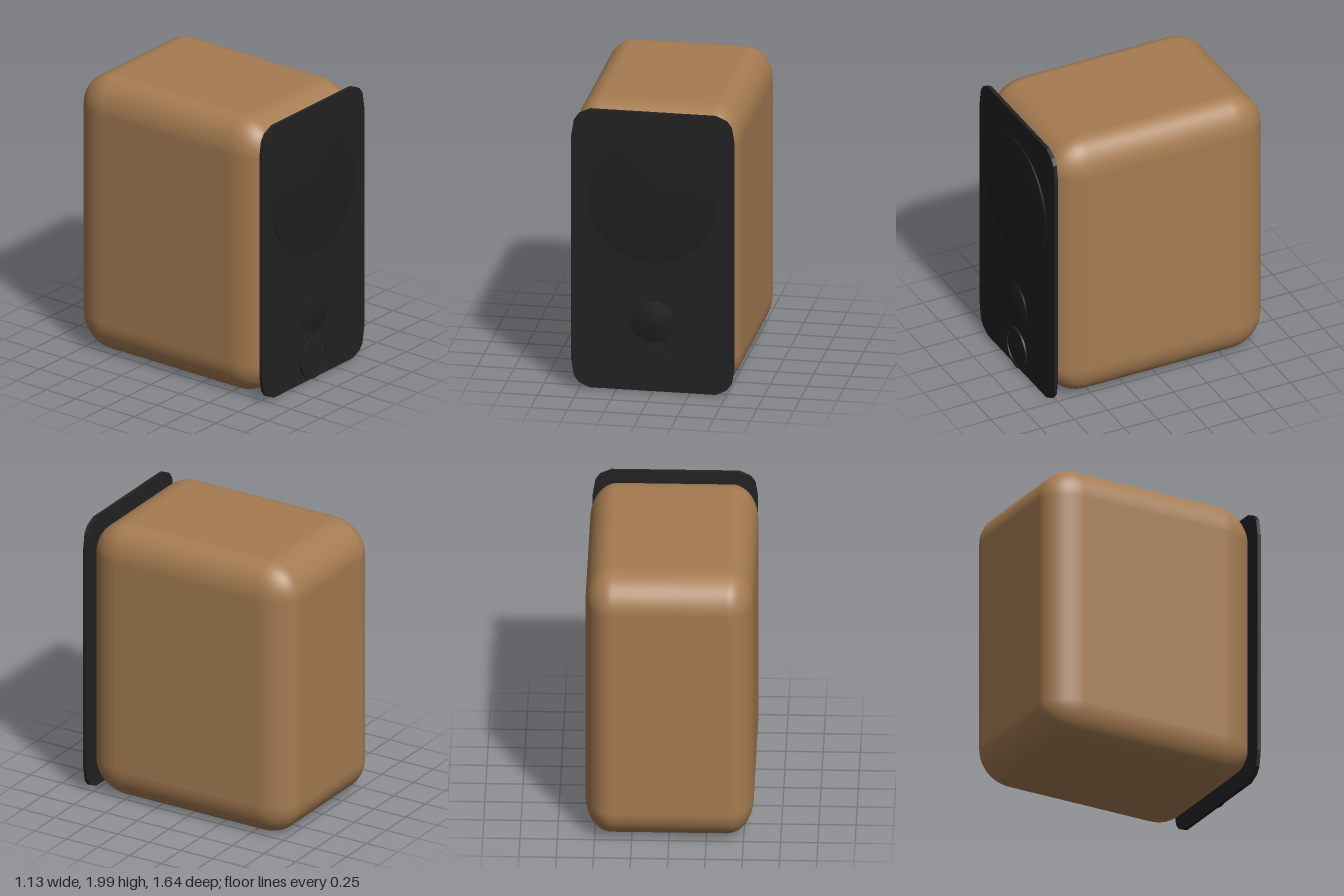
import * as THREE from 'three';
import { RoundedBoxGeometry } from 'three/addons/geometries/RoundedBoxGeometry.js';

const mat = (name, color) => {
  const m = new THREE.MeshStandardMaterial({ color });
  m.name = name;
  return m;
};

export function createModel() {
  const wood = mat('wood', 0xa67c52);
  const black = mat('black panel', 0x222222);
  const rubber = mat('dark rubber', 0x1f1f1f);

  const group = new THREE.Group();
  group.name = 'speaker';
  const add = (name, geometry, material, x, y, z) => {
    const mesh = new THREE.Mesh(geometry, material);
    mesh.name = name;
    mesh.position.set(x, y, z);
    group.add(mesh);
    return mesh;
  };

  // Cabinet: a rounded box stretched so each axis has its own corner radius
  const size = [1.13, 1.995, 1.595];
  const radii = [0.18, 0.24, 0.25];
  const r = 0.2;
  const s = radii.map((v) => v / r);
  const cabinet = new RoundedBoxGeometry(size[0] / s[0], size[1] / s[1], size[2] / s[2], 8, r);
  cabinet.scale(...s);
  add('cabinet', cabinet, wood, 0, 1.0, -0.0225);

  // Front baffle with faceted corners, mirrored from one corner
  const corner = [[0.555, 0.8], [0.537, 0.91], [0.505, 0.955], [0.43, 0.99]];
  const back = [...corner].reverse();
  const outline = [
    ...corner,
    ...back.map(([x, y]) => [-x, y]),
    ...corner.map(([x, y]) => [-x, -y]),
    ...back.map(([x, y]) => [x, -y]),
  ].map(([x, y]) => new THREE.Vector2(x, y));
  const baffle = new THREE.ExtrudeGeometry(new THREE.Shape(outline), { depth: 0.026, bevelEnabled: false });
  add('baffle', baffle, black, 0, 1.0, 0.773);

  // Round parts are lathed around z; profiles run from the rim to the centre
  const turned = (points) =>
    new THREE.LatheGeometry(points.map(([x, y]) => new THREE.Vector2(x, y)), 64).rotateX(Math.PI / 2);

  // Shallow domed drivers, softly shaded out to the rim
  const driver = (radius) => turned([[radius, 0], [radius, 0.018], [0, 0.026]]);
  add('woofer', driver(0.44), rubber, 0, 1.365, 0.796);
  add('tweeter', driver(0.147), rubber, 0, 0.505, 0.796);

  // Port: a raised ring around a flat disc
  const ring = new THREE.Shape().absarc(0, 0, 0.147, 0, Math.PI * 2);
  ring.holes.push(new THREE.Path().absarc(0, 0, 0.129, 0, Math.PI * 2, true));
  const ringGeometry = new THREE.ExtrudeGeometry(ring, { depth: 0.016, bevelEnabled: false, curveSegments: 48 });
  add('portRing', ringGeometry, black, 0, 0.162, 0.796);
  add('portDisc', new THREE.CircleGeometry(0.129, 48), black, 0, 0.162, 0.804);

  return group;
}
